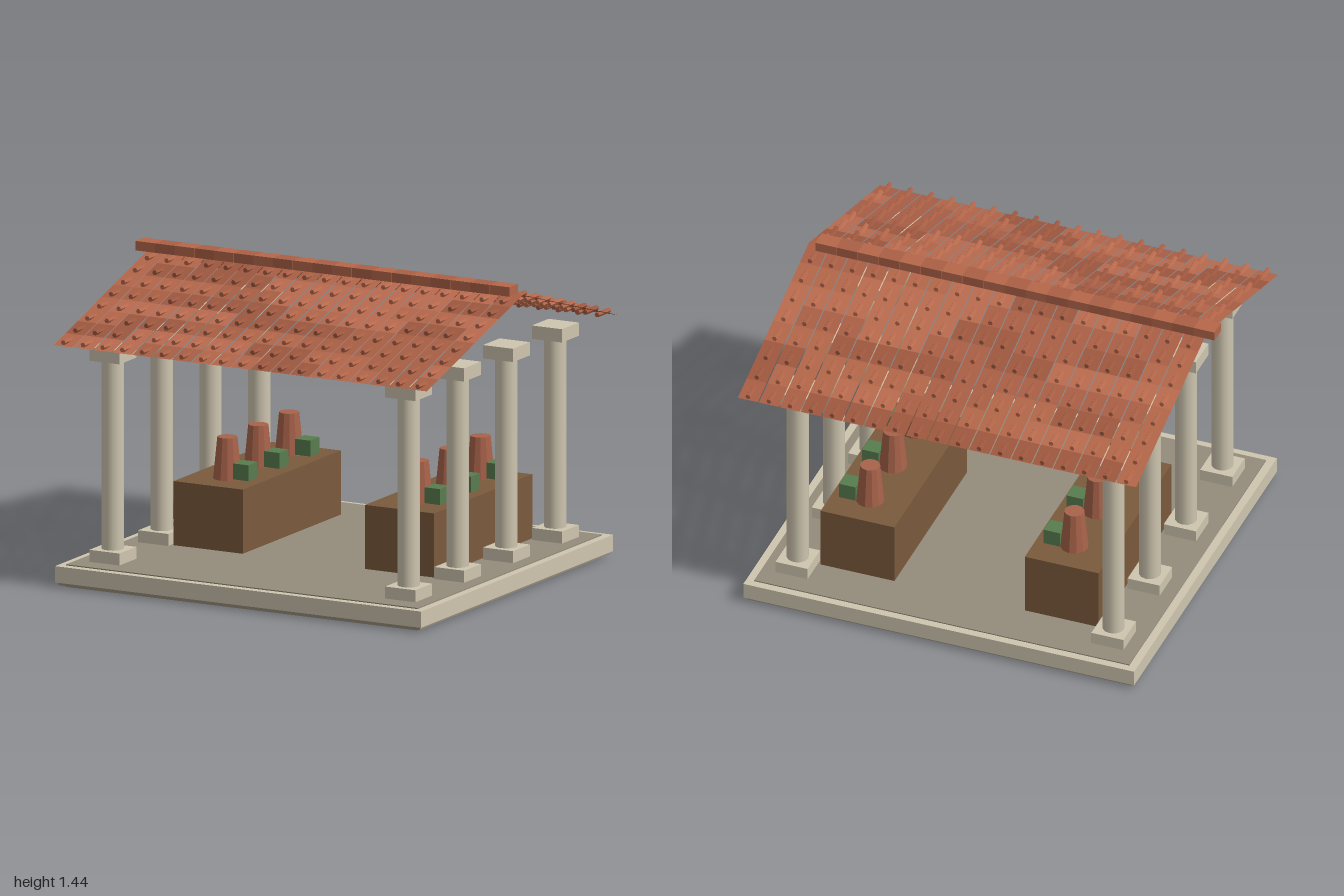
import * as THREE from 'three';

const mat = (color, extra = {}) => new THREE.MeshStandardMaterial({ color, ...extra });
const stone = mat(0xcfc6b0);
const paving = mat(0x948c7a);
const wood = mat(0x7a5a3c);
const clay = mat(0xa8634a, { flatShading: true });
const leaf = mat(0x587c4e);
const tileShades = [0xb5674a, 0xab6046, 0xbb6c4f, 0x9f583f].map(c => mat(c, { side: THREE.DoubleSide }));
const CX = 0.0125; // centre line of the platform and everything standing on it

function add(parent, name, geometry, material, x = 0, y = 0, z = 0) {
  const mesh = new THREE.Mesh(geometry, material);
  mesh.name = name;
  mesh.position.set(x, y, z);
  parent.add(mesh);
  return mesh;
}

// Box given by its centre in x and z, and its bottom and top heights
function slab(parent, name, material, w, d, y0, y1, x = CX, z = 0) {
  return add(parent, name, new THREE.BoxGeometry(w, y1 - y0, d), material, x, (y0 + y1) / 2, z);
}

function makePlatform() {
  const g = new THREE.Group();
  g.name = 'platform';
  slab(g, 'underside', paving, 1.83, 1.72, 0, 0.01);
  slab(g, 'footing', paving, 1.88, 1.77, 0.01, 0.024);
  slab(g, 'platformSlab', stone, 1.906, 1.796, 0.024, 0.1);
  slab(g, 'floor', paving, 1.83, 1.72, 0.1, 0.105);
  return g;
}

function makeColumn(x, z) {
  const g = new THREE.Group();
  g.name = 'column';
  slab(g, 'columnBase', stone, 0.157, 0.157, 0.1, 0.161, 0, 0);
  add(g, 'columnShaft', new THREE.CylinderGeometry(0.051, 0.051, 0.884, 12), stone, 0, 0.602, 0);
  slab(g, 'columnCapital', stone, 0.157, 0.157, 1.043, 1.105, 0, 0);
  g.position.set(x, 0, z);
  return g;
}

function makePlanter(x) {
  const g = new THREE.Group();
  g.name = 'planter';
  slab(g, 'planterBox', wood, 0.36, 0.916, 0.105, 0.404, 0, -0.177);
  for (const z of [0.106, -0.183, -0.471]) {
    add(g, 'pot', new THREE.CylinderGeometry(0.046, 0.065, 0.194, 12), clay, 0.002, 0.501, z);
    add(g, 'bush', new THREE.BoxGeometry(0.08, 0.074, 0.086), leaf, 0.096, 0.449, z);
  }
  g.position.x = x;
  return g;
}

function makeRoof() {
  const g = new THREE.Group();
  g.name = 'roof';
  const columns = 19, rows = 8, pitch = 0.1025, depth = 0.1117, rise = 0.034;
  const slope = Math.atan2(rise, depth);

  // Thin sloping tile, and the level six-sided rib that passes through it
  const tileGeo = new THREE.PlaneGeometry(pitch - 0.005, Math.hypot(depth, rise)).rotateX(-Math.PI / 2);
  const ribGeo = new THREE.CylinderGeometry(0.0118, 0.0118, depth, 6)
    .rotateY(Math.PI / 6).rotateX(Math.PI / 2).toNonIndexed();
  ribGeo.computeVertexNormals();

  // Small repeatable generator for the weathering of the tiles
  let seed = 7;
  const next = () => (seed = (seed * 16807) % 2147483647) / 2147483647;

  for (const side of [1, -1]) {
    for (let r = 0; r < rows; r++) {
      const y = 1.384 - r * rise;
      const z = side * (r + 0.5) * depth;
      let shade = tileShades[0];
      for (let c = 0; c < columns; c++) {
        if (c % 3 === r % 3) shade = tileShades[Math.floor(next() * 4)];
        const x = -0.951 + (c + 0.5) * pitch;
        add(g, 'roofTile', tileGeo, shade, x, y, z).rotation.x = side * slope;
        add(g, 'tileRib', ribGeo, shade, x, y, z);
      }
    }
  }

  // Ridge blocks, shifted half a tile to the side
  const ridgeGeo = new THREE.BoxGeometry(pitch - 0.001, 0.044, 0.08);
  for (let c = 0; c < columns; c++) {
    add(g, 'ridgeTile', ridgeGeo, tileShades[c % 2], -1 + (c + 0.5) * pitch, 1.417, 0);
  }
  return g;
}

export function createModel() {
  const model = new THREE.Group();
  model.name = 'openPavilion';
  model.add(makePlatform(), makeRoof());
  for (const side of [-1, 1]) {
    for (const z of [-0.685, -0.228, 0.228, 0.685]) model.add(makeColumn(CX + side * 0.77, z));
    model.add(makePlanter(CX + side * 0.498));
  }
  return model;
}
